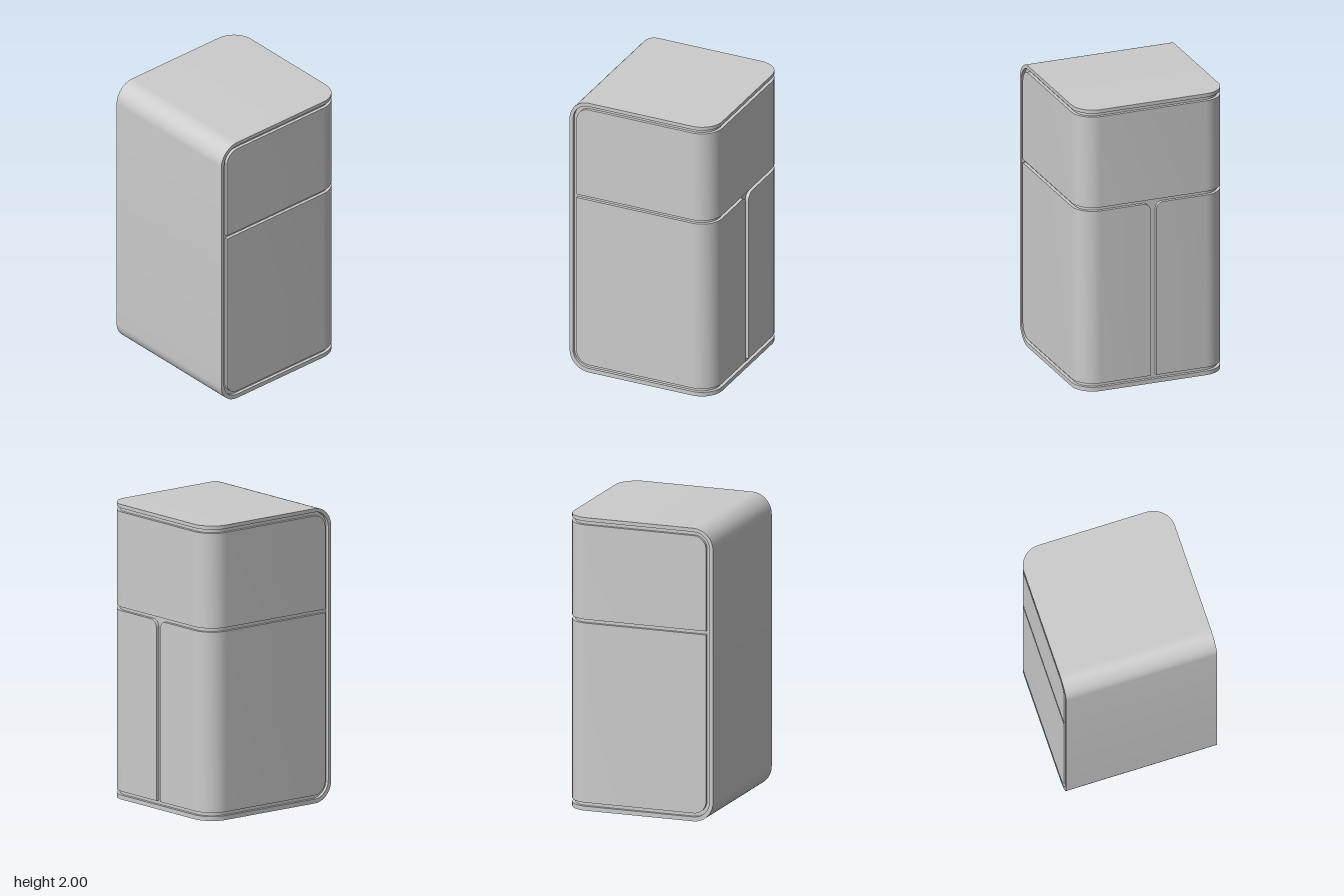
import * as THREE from 'three';
import { toCreasedNormals } from 'three/addons/utils/BufferGeometryUtils.js';

const HALF = 0.525;      // half width and half depth
const BACK_R = 0.15;     // plan radius of the two back corners
const GROOVE = 0.022;    // depth of the shadow gaps
const STEPS = 14;        // segments per rounded corner

const material = new THREE.MeshStandardMaterial({ color: 0xcccccc });

// Joins equal-length 2D sections, each placed in space by place(i, u, v), and caps both ends.
function loft(name, sections, place) {
  const n = sections[0].length, last = sections.length - 1;
  const pos = [], index = [];
  sections.forEach((s, i) => s.forEach(([u, v]) => pos.push(...place(i, u, v))));
  for (let i = 0; i < last; i++) {
    for (let j = 0; j < n; j++) {
      const a = i * n + j, b = i * n + (j + 1) % n;
      index.push(a, b, b + n, a, b + n, a + n);
    }
  }
  const cap = s => THREE.ShapeUtils.triangulateShape(s.map(p => new THREE.Vector2(...p)), []);
  cap(sections[0]).forEach(([a, b, c]) => index.push(c, b, a));
  cap(sections[last]).forEach(([a, b, c]) => index.push(a + last * n, b + last * n, c + last * n));
  const geo = new THREE.BufferGeometry();
  geo.setAttribute('position', new THREE.Float32BufferAttribute(pos, 3));
  geo.setIndex(index);
  const mesh = new THREE.Mesh(toCreasedNormals(geo, 0.6), material);
  mesh.name = name;
  return mesh;
}

// Rounded front line of the side profile, from top to bottom (u points to the back).
function frontLine(front, y0, y1, r) {
  const pts = [];
  for (const [cy, start] of [[y1 - r, Math.PI / 2], [y0 + r, Math.PI]]) {
    for (let i = 0; i <= STEPS; i++) {
      const a = start + (i / STEPS) * Math.PI / 2;
      pts.push([-(front - r) + r * Math.cos(a), cy + r * Math.sin(a)]);
    }
  }
  return pts;
}

// Stations across the width: [x, distance of the back edge], with rounded back corners.
function stations(half, r) {
  const right = [];
  for (let i = 0; i <= STEPS; i++) {
    const a = (1 - i / STEPS) * Math.PI / 2;
    right.push([half - r + r * Math.cos(a), half - r + r * Math.sin(a)]);
  }
  return [...right.map(([x, b]) => [-x, b]).reverse(), ...right];
}

// Side profile carried across the width.
function acrossWidth(name, half, r, profile) {
  const st = stations(half, r);
  return loft(name, st.map(([, b]) => profile(b)), (i, u, v) => [st[i][0], v, -u]);
}

// Columns of one panel half, from the front of the +x side round to the back.
// Each holds position, outward direction and the lower and upper edge.
function panelHalf(y0, y1, { topR = 0, bottomR = 0, endX = 0, endR = 0 }) {
  const cols = [], front = 0.475, c = HALF - BACK_R, r = Math.max(topR, bottomR);
  for (let i = 0; i <= STEPS; i++) {
    const a = (i / STEPS) * Math.PI / 2, k = 1 - Math.sin(a);
    cols.push({ x: HALF, z: front - r * (1 - Math.cos(a)), nx: 1, nz: 0, lo: y0 + bottomR * k, hi: y1 - topR * k });
  }
  for (let i = 0; i <= STEPS; i++) {
    const a = (i / STEPS) * Math.PI / 2, nx = Math.cos(a), nz = -Math.sin(a);
    cols.push({ x: c + BACK_R * nx, z: -c + BACK_R * nz, nx, nz, lo: y0, hi: y1 });
  }
  for (let i = 0; endR && i <= STEPS; i++) {
    const a = (i / STEPS) * Math.PI / 2;
    cols.push({ x: endX + endR * (1 - Math.sin(a)), z: -HALF, nx: 0, nz: -1, lo: y0, hi: y1 - endR * (1 - Math.cos(a)) });
  }
  return cols;
}

const mirrored = cols => cols.map(c => ({ ...c, x: -c.x, nx: -c.nx })).reverse();

function panel(name, cols) {
  const depth = 0.04;
  return loft(name, cols.map(({ lo, hi }) => [[0, lo], [depth, lo], [depth, hi], [0, hi]]),
    (i, u, v) => [cols[i].x - cols[i].nx * u, v, cols[i].z - cols[i].nz * u]);
}

export function createModel() {
  const group = new THREE.Group();
  group.name = 'cabinet';

  // C-shaped outer shell: top, rounded front and base
  const outer = frontLine(HALF, 0, 2, 0.14);
  const inner = frontLine(0.5, 0.03, 1.975, 0.115).reverse();
  group.add(acrossWidth('outerShell', HALF, BACK_R,
    b => [[b, 2], ...outer, [b, 0], [b, 0.03], ...inner, [b, 1.975]]));

  // Recessed body forming the floor of the gaps
  const body = frontLine(0.512, 0.015, 1.988, 0.127);
  group.add(acrossWidth('innerBody', HALF - GROOVE, BACK_R - GROOVE,
    b => [[b, 1.988], ...body, [b, 0.015]]));

  // One upper panel wrapping both sides and the back
  const upper = panelHalf(1.305, 1.95, { topR: 0.09 });
  group.add(panel('upperPanel', [...upper, ...mirrored(upper)]));

  // Two lower panels meeting at a gap in the middle of the back
  const lower = panelHalf(0.055, 1.28, { bottomR: 0.09, endX: 0.02, endR: 0.05 });
  group.add(panel('lowerPanelLeft', lower));
  group.add(panel('lowerPanelRight', mirrored(lower)));

  return group;
}
